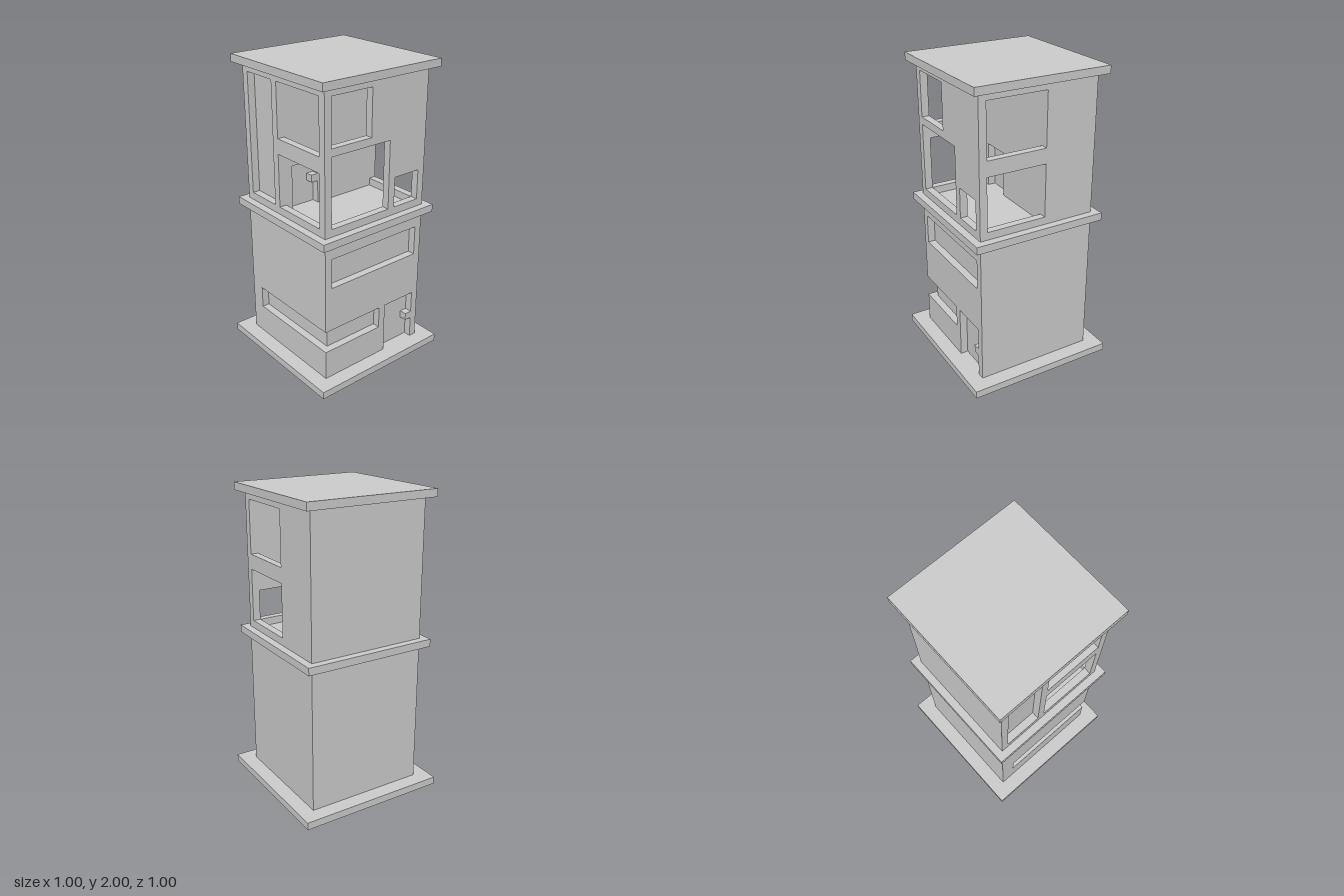
import * as THREE from 'three';

const T = 0.05; // wall thickness
const material = new THREE.MeshStandardMaterial({ color: 0xcccccc, flatShading: true });

function add(group, name, geometry) {
  const mesh = new THREE.Mesh(geometry, material);
  mesh.name = name;
  group.add(mesh);
  return mesh;
}

// Box given by its two extreme corners
function block(group, name, [x0, y0, z0], [x1, y1, z1]) {
  const mesh = add(group, name, new THREE.BoxGeometry(x1 - x0, y1 - y0, z1 - z0));
  mesh.position.set((x0 + x1) / 2, (y0 + y1) / 2, (z0 + z1) / 2);
}

const rect = (a0, b0, a1, b1) => [[a0, b0], [a1, b0], [a1, b1], [a0, b1]];
const toPoints = (list) => list.map(([a, b]) => new THREE.Vector2(a, b));

function panel(outline, holes) {
  const shape = new THREE.Shape(toPoints(outline));
  holes.forEach((h) => shape.holes.push(new THREE.Path(toPoints(h))));
  return new THREE.ExtrudeGeometry(shape, { depth: T, bevelEnabled: false });
}

// Wall drawn in (x, y), its back at z
function frontPanel(group, name, z, outline, holes = []) {
  add(group, name, panel(outline, holes)).position.z = z;
}

// Wall drawn in (z, y), its +x face at x
function sidePanel(group, name, x, outline, holes = []) {
  const mesh = add(group, name, panel(outline, holes));
  mesh.rotation.y = -Math.PI / 2;
  mesh.position.x = x;
}

export function createModel() {
  const tower = new THREE.Group();
  tower.name = 'tower';

  // Horizontal slabs
  for (const [name, half, y] of [['base', 0.5, 0], ['middleSlab', 0.45, 1], ['roof', 0.45, 1.95]]) {
    block(tower, name, [-half, y, -half], [half, y + T, half]);
  }

  // Ground floor: solid core with recessed layers on two sides
  const ground = new THREE.Group();
  ground.name = 'groundFloor';
  tower.add(ground);
  block(ground, 'groundCore', [-0.35, 0.05, -0.4], [0.4, 1, 0.35]);
  // Outline has the doorway with its handle and the corner slot
  frontPanel(ground, 'groundFrontWall', 0.35, [
    [-0.4, 0.05], [0.1, 0.05], [0.1, 0.4], [0.35, 0.4], [0.35, 0.25], [0.3, 0.25],
    [0.3, 0.2], [0.35, 0.2], [0.35, 0.05], [0.4, 0.05], [0.4, 1], [-0.4, 1],
    [-0.4, 0.4], [0.05, 0.4], [0.05, 0.25], [-0.4, 0.25],
  ], [rect(-0.35, 0.7, 0.35, 0.9)]);
  sidePanel(ground, 'groundRightWall', -0.35, [
    [-0.4, 0.05], [0.35, 0.05], [0.35, 0.25], [-0.3, 0.25],
    [-0.3, 0.4], [0.35, 0.4], [0.35, 1], [-0.4, 1],
  ]);

  // Upper floor: open room in front of a solid back
  const upper = new THREE.Group();
  upper.name = 'upperFloor';
  tower.add(upper);
  block(upper, 'upperCore', [-0.35, 1.05, -0.4], [0.35, 1.95, -0.1]);
  // Partition with recessed door and handle
  frontPanel(upper, 'partition', -0.1, [
    [-0.35, 1.05], [-0.3, 1.05], [-0.3, 1.35], [-0.1, 1.35], [-0.1, 1.25], [-0.15, 1.25],
    [-0.15, 1.2], [-0.1, 1.2], [-0.1, 1.05], [0.35, 1.05], [0.35, 1.95], [-0.35, 1.95],
  ]);
  frontPanel(upper, 'upperFrontWall', 0.35, rect(-0.4, 1.05, 0.4, 1.95), [
    rect(-0.35, 1.6, -0.05, 1.9),
    rect(-0.35, 1.1, 0.1, 1.55),
    rect(0.15, 1.1, 0.35, 1.3),
  ]);
  // Side walls with two windows each that end at the front wall
  const side = [
    [-0.4, 1.05], [0.35, 1.05], [0.35, 1.1], [-0.05, 1.1], [-0.05, 1.45], [0.35, 1.45],
    [0.35, 1.55], [-0.05, 1.55], [-0.05, 1.9], [0.35, 1.9], [0.35, 1.95], [-0.4, 1.95],
  ];
  sidePanel(upper, 'upperLeftWall', 0.4, side);
  sidePanel(upper, 'upperRightWall', -0.35, side, [rect(-0.35, 1.1, -0.1, 1.9)]); // tall niche

  return tower;
}
